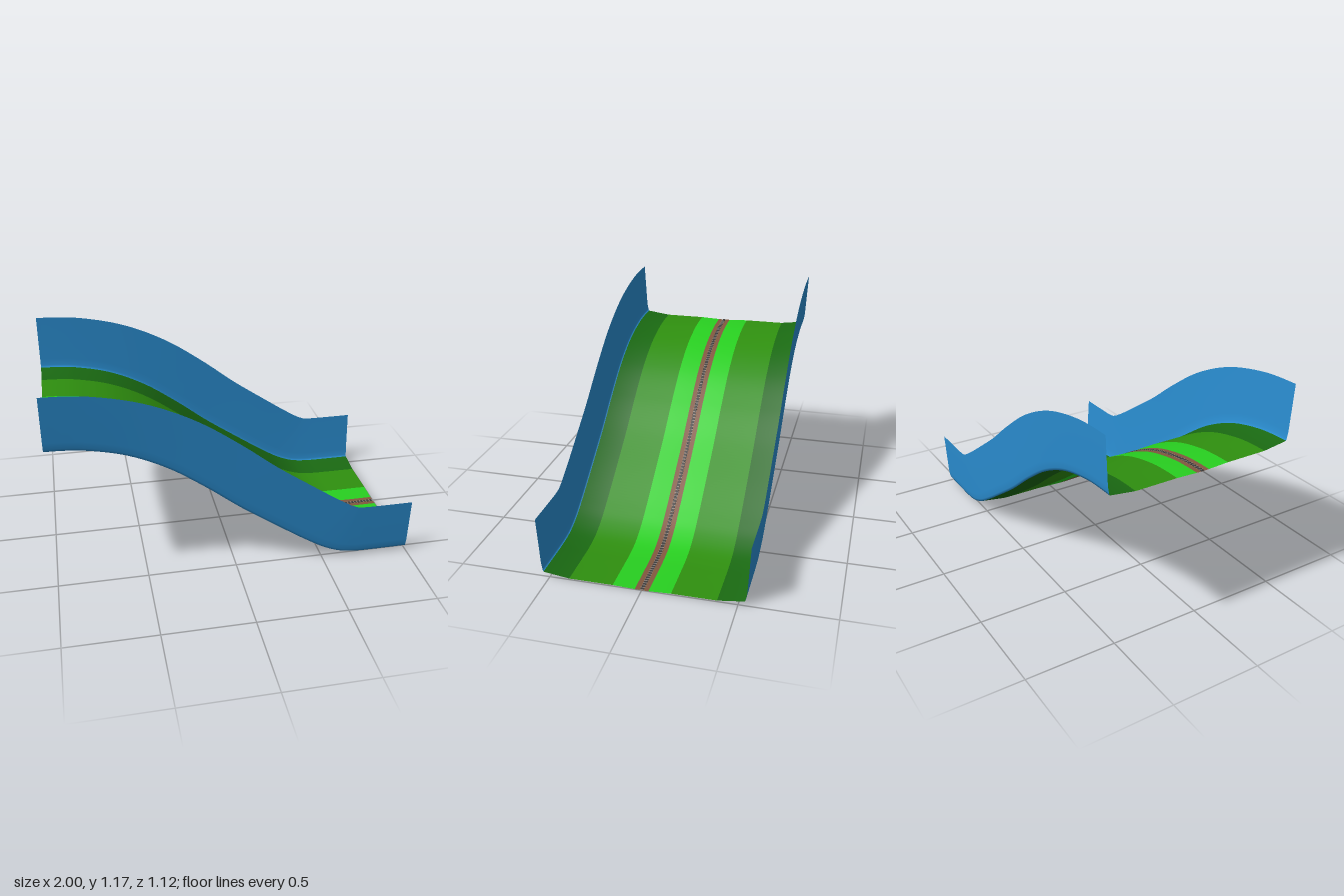
import * as THREE from 'three';
import { mergeGeometries } from 'three/addons/utils/BufferGeometryUtils.js';

// Centre line of the slope, high at -x and level at +x
const PATH = new THREE.CatmullRomCurve3([
  [-1, 0.837], [-0.9, 0.834], [-0.8, 0.824], [-0.6, 0.776], [-0.4, 0.683], [-0.2, 0.545],
  [0, 0.388], [0.2, 0.247], [0.4, 0.112], [0.5, 0.054], [0.6, 0.016], [0.7, 0.002],
  [0.8, 0], [1, 0],
].map(([x, y]) => new THREE.Vector3(x, y, 0)));

// Half cross-section: [distance from the middle, height above the centre line]
const HALF = [
  [0, 0.003], [0.037, 0.004], [0.155, 0.009], [0.393, 0.009],
  [0.535, 0.028], [0.539, 0.042], [0.545, 0.08], [0.559, 0.338],
];
const BANDS = [
  ['centreStrip', 0, 1, 0x82583f],
  ['innerGrass', 1, 2, 0x28d020],
  ['middleGrass', 2, 3, 0x2f900f],
  ['outerGrass', 3, 4, 0x1a6a12],
  ['sideWall', 4, 7, 0x2a8dd0],
];
const STEPS = 120;

// Point and upright direction at u; both ends are cut square
function frame(u) {
  const p = PATH.getPointAt(u);
  const t = u <= 0 || u >= 1 ? new THREE.Vector3(1, 0, 0) : PATH.getTangentAt(u);
  return { p, t, n: new THREE.Vector3(-t.y, t.x, 0) };
}

export function createModel() {
  const group = new THREE.Group();

  // Full cross-section swept along the path, shared by every band for smooth normals
  const profile = [...HALF.slice(1).reverse().map(([z, h]) => [-z, h]), ...HALF];
  const cols = profile.length, mid = HALF.length - 1;
  const positions = [];
  for (let i = 0; i <= STEPS; i++) {
    const { p, n } = frame(i / STEPS);
    for (const [z, h] of profile) positions.push(p.x + n.x * h, p.y + n.y * h, z);
  }
  const stripIndex = (from, to) => {
    const index = [];
    for (let i = 0; i < STEPS; i++) {
      for (let j = from; j < to; j++) {
        const a = i * cols + j, b = a + 1, c = a + cols, d = c + 1;
        index.push(a, b, c, b, d, c);
      }
    }
    return index;
  };
  const surface = new THREE.BufferGeometry();
  surface.setAttribute('position', new THREE.Float32BufferAttribute(positions, 3));
  surface.setIndex(stripIndex(0, cols - 1));
  surface.computeVertexNormals();

  // Coloured bands, mirrored about the middle
  for (const [name, a, b, color] of BANDS) {
    const geometry = new THREE.BufferGeometry();
    geometry.setAttribute('position', surface.getAttribute('position'));
    geometry.setAttribute('normal', surface.getAttribute('normal'));
    geometry.setIndex([...stripIndex(mid - b, mid - a), ...stripIndex(mid + a, mid + b)]);
    const mesh = new THREE.Mesh(geometry,
      new THREE.MeshStandardMaterial({ color, side: THREE.DoubleSide }));
    mesh.name = name;
    group.add(mesh);
  }

  // Low chain along the middle: dark links joined by pale cross pins
  const LINKS = 110;
  const chain = (name, length, width, height, shift, color) => {
    const parts = [];
    for (let i = 0; i < LINKS; i++) {
      const { p, t, n } = frame((i + shift) / LINKS);
      const box = new THREE.BoxGeometry(length, height, width);
      box.rotateZ(Math.atan2(t.y, t.x));
      box.translate(p.x + n.x * 0.0045, p.y + n.y * 0.0045, 0);
      parts.push(box);
    }
    const mesh = new THREE.Mesh(mergeGeometries(parts), new THREE.MeshStandardMaterial({ color }));
    mesh.name = name;
    group.add(mesh);
  };
  chain('chainLinks', 0.013, 0.018, 0.002, 0.35, 0x3c3c3c);
  chain('chainPins', 0.005, 0.024, 0.002, 0.8, 0x8c8078);

  return group;
}
